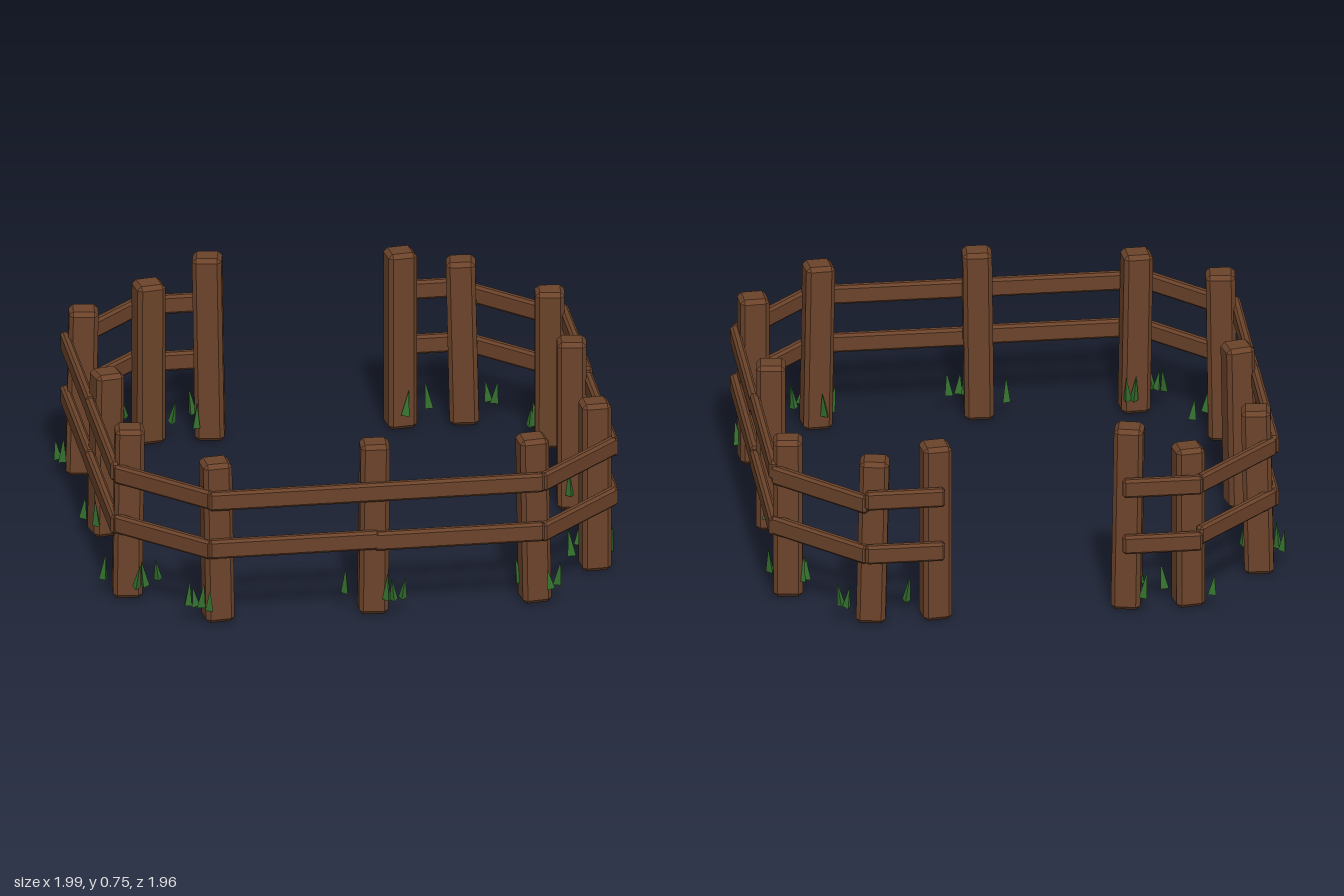
import * as THREE from 'three';
import { ConvexGeometry } from 'three/addons/geometries/ConvexGeometry.js';

const wood = new THREE.MeshStandardMaterial({ color: 0x6b432a });
wood.name = 'brown wood';
const grass = new THREE.MeshStandardMaterial({ color: 0x34702f });
grass.name = 'grass green';

// Box with every edge cut at 45 degrees
function chamferBox(w, h, d, c) {
  const points = [];
  for (const sx of [-1, 1]) for (const sy of [-1, 1]) for (const sz of [-1, 1]) {
    const x = w / 2, y = h / 2, z = d / 2;
    points.push(
      new THREE.Vector3(sx * x, sy * (y - c), sz * (z - c)),
      new THREE.Vector3(sx * (x - c), sy * y, sz * (z - c)),
      new THREE.Vector3(sx * (x - c), sy * (y - c), sz * z));
  }
  return new ConvexGeometry(points);
}

// Post: top x, top z, height, yaw, lean of the top in x and z
const POSTS = [
  [-0.355, -0.88, 0.755, -0.2, -0.012, 0],
  [-0.58, -0.875, 0.66, 0.15, 0, 0.01],
  [-0.87, -0.61, 0.68, -0.12, 0.012, 0.01],
  [-0.87, -0.01, 0.67, 0.2, 0.01, 0],
  [-0.875, 0.6, 0.695, -0.1, 0.01, 0],
  [-0.59, 0.895, 0.66, 0.08, -0.012, 0.01],
  [0.022, 0.895, 0.7, -0.06, 0.008, 0],
  [0.628, 0.885, 0.68, 0.1, -0.012, 0.008],
  [0.912, 0.6, 0.69, 0.06, 0, 0],
  [0.915, -0.01, 0.69, -0.12, 0, 0],
  [0.92, -0.605, 0.65, -0.12, 0, 0.012],
  [0.62, -0.89, 0.675, -0.15, -0.015, 0],
  [0.388, -0.89, 0.725, 0.12, 0, 0],
];

// Rail: start x, z, end x, z, upper height, lower height
const RAILS = [
  [-0.32, -0.958, -0.625, -0.958, 0.53, 0.295],
  [-0.61, -0.955, -0.935, -0.635, 0.53, 0.315],
  [-0.937, -0.65, -0.937, 0.01, 0.535, 0.315],
  [-0.937, -0.01, -0.937, 0.65, 0.53, 0.31],
  [-0.935, 0.635, -0.61, 0.955, 0.52, 0.315],
  [-0.625, 0.952, 0.03, 0.952, 0.515, 0.318],
  [0.01, 0.952, 0.665, 0.952, 0.515, 0.313],
  [0.655, 0.955, 0.98, 0.635, 0.515, 0.308],
  [0.978, 0.65, 0.978, -0.03, 0.51, 0.308],
  [0.978, -0.01, 0.978, -0.65, 0.53, 0.295],
  [0.98, -0.635, 0.655, -0.955, 0.512, 0.302],
  [0.665, -0.958, 0.36, -0.958, 0.53, 0.305],
];

// Grass blades: x, z pairs on the ground
const BLADES = [
  [-0.66, -0.96], [-0.49, -0.885], [-0.4, -0.96], [-0.41, -0.82],
  [-0.975, -0.6], [-0.96, -0.57], [-0.86, -0.52], [-0.83, -0.53],
  [-0.96, -0.01], [-0.92, 0.07], [-0.975, 0.6], [-0.77, 0.63],
  [-0.865, 0.7], [-0.83, 0.69], [-0.7, 0.9], [-0.67, 0.91], [-0.65, 0.92],
  [-0.57, 0.82], [-0.545, 0.825], [-0.62, 0.96], [-0.085, 0.865],
  [0.06, 0.96], [0.085, 0.965], [0.12, 0.95], [0.58, 0.86], [0.61, 0.82],
  [0.69, 0.94], [0.72, 0.9], [0.82, 0.63], [0.86, 0.53], [0.885, 0.56],
  [0.975, 0.6], [0.9, 0.05], [0.94, -0.08], [0.85, -0.65], [0.87, -0.66],
  [0.98, -0.56], [0.73, -0.92], [0.75, -0.9], [0.5, -0.885], [0.4, -0.82],
];

export function createModel() {
  const model = new THREE.Group();
  model.name = 'paddockFence';

  // Leaning upright posts
  POSTS.forEach(([x, z, height, yaw, leanX, leanZ], i) => {
    const post = new THREE.Mesh(chamferBox(0.112, height - 0.004, 0.106, 0.016), wood);
    post.name = `post${i + 1}`;
    post.position.set(x - leanX / 2, height / 2 + 0.002, z - leanZ / 2);
    post.rotation.set(leanZ / height, yaw, -leanX / height, 'XZY');
    model.add(post);
  });

  // Two rails per span, fixed to the outer side of the posts
  RAILS.forEach(([ax, az, bx, bz, upper, lower], i) => {
    const length = Math.hypot(bx - ax, bz - az);
    const geometry = chamferBox(length, 0.076, 0.036, 0.01);
    [['upperRail', upper], ['lowerRail', lower]].forEach(([name, y]) => {
      const rail = new THREE.Mesh(geometry, wood);
      rail.name = `${name}${i + 1}`;
      rail.position.set((ax + bx) / 2, y, (az + bz) / 2);
      rail.rotation.y = -Math.atan2(bz - az, bx - ax);
      model.add(rail);
    });
  });

  // Three-sided grass blades around the posts
  const tufts = new THREE.Group();
  tufts.name = 'grassTufts';
  BLADES.forEach(([x, z], i) => {
    const height = 0.08 + 0.03 * Math.abs(Math.sin(i * 2.3));
    const blade = new THREE.ConeGeometry(0.019, height, 3).toNonIndexed();
    blade.translate(0, height / 2, 0);
    blade.computeVertexNormals();
    const mesh = new THREE.Mesh(blade, grass);
    mesh.name = `grassBlade${i + 1}`;
    mesh.position.set(x, 0.07, z);
    mesh.rotation.set(0.14 * Math.sin(i * 1.7), i * 1.9, 0.14 * Math.cos(i * 2.9), 'XZY');
    tufts.add(mesh);
  });
  model.add(tufts);

  return model;
}
